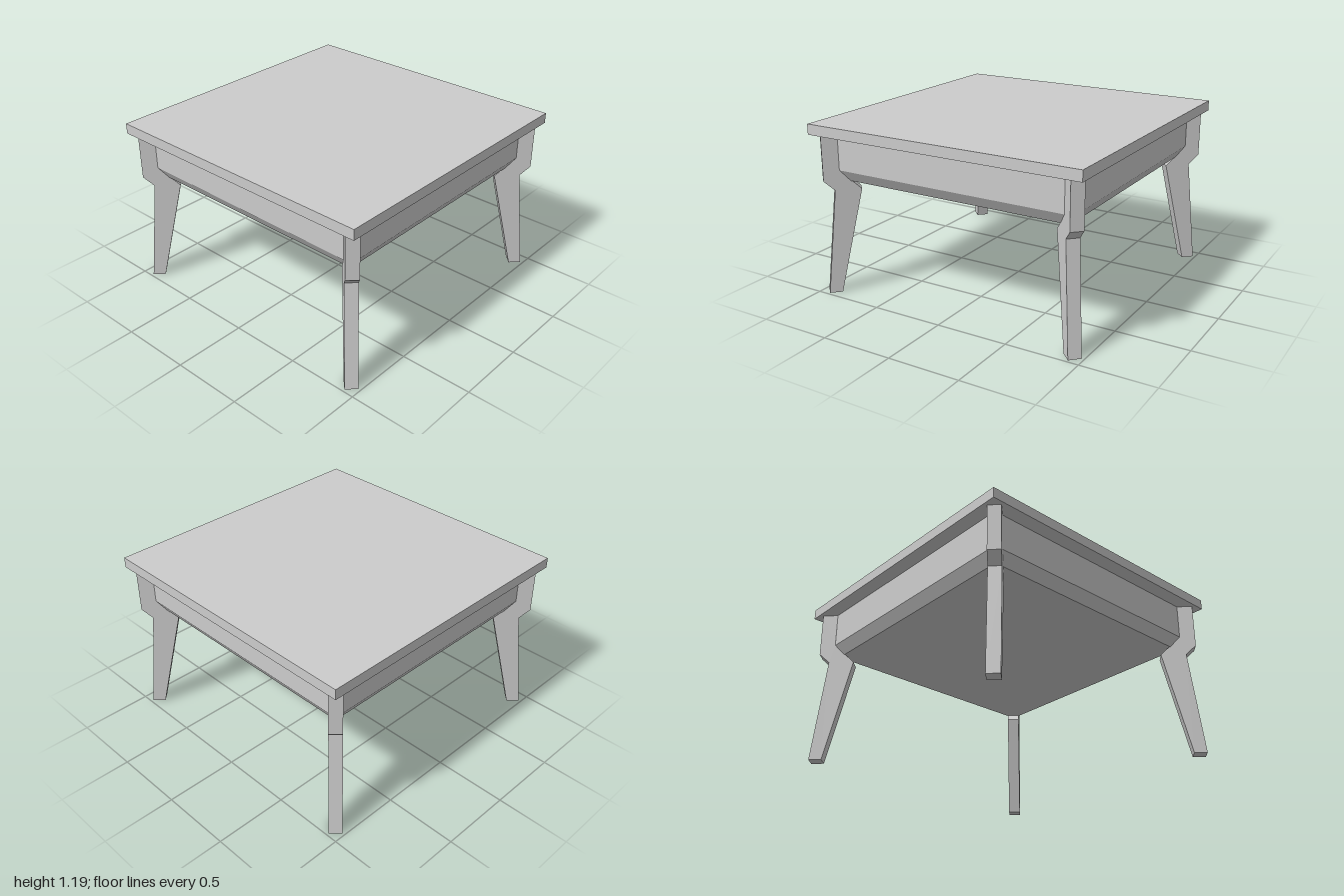
import * as THREE from 'three';

export function createModel() {
  const model = new THREE.Group();
  const material = new THREE.MeshStandardMaterial({ color: 0xcccccc, flatShading: true });

  const add = (name, geometry) => {
    const mesh = new THREE.Mesh(geometry, material);
    mesh.name = name;
    model.add(mesh);
    return mesh;
  };

  // Square slab top
  add('tableTop', new THREE.BoxGeometry(2, 0.072, 2)).position.y = 1.15;

  // Four-sided apron, closed below, with a slanted lower edge: [half width, height]
  const apronProfile = [[0, 0.793], [0.85, 0.793], [0.9, 0.87], [0.9, 1.114]]
    .map(([half, y]) => new THREE.Vector2(half * Math.SQRT2, y));
  const apron = new THREE.LatheGeometry(apronProfile, 4, Math.PI / 4).toNonIndexed();
  apron.computeVertexNormals();
  add('apron', apron);

  // Kneed leg, drawn in the vertical plane through the table's diagonal
  const legProfile = [
    [0.89, 0], [0.952, 0], [0.895, 0.733], [0.946, 0.8],
    [0.946, 1.114], [0.87, 1.114], [0.87, 0.87], [0.77, 0.733],
  ].map(([d, y]) => new THREE.Vector2(d * Math.SQRT2, y));
  const thickness = 0.086;
  const legGeometry = new THREE.ExtrudeGeometry(new THREE.Shape(legProfile), {
    depth: thickness, bevelEnabled: false,
  }).translate(0, 0, -thickness / 2);

  // One leg on each diagonal
  ['backLeftLeg', 'backRightLeg', 'frontRightLeg', 'frontLeftLeg'].forEach((name, i) => {
    add(name, legGeometry).rotation.y = Math.PI / 4 + i * Math.PI / 2;
  });

  return model;
}
